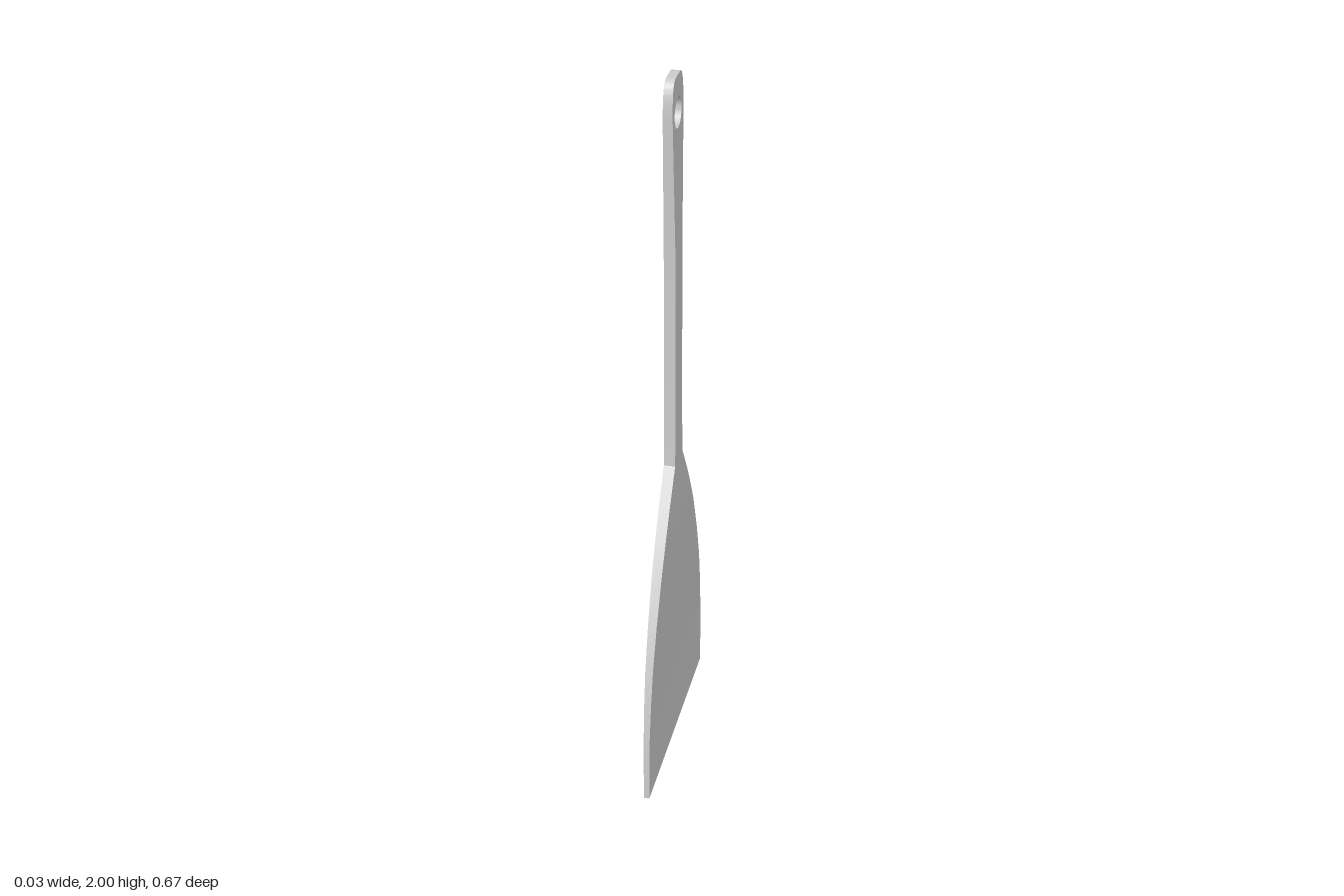
import * as THREE from 'three';
import { toCreasedNormals } from 'three/addons/utils/BufferGeometryUtils.js';

const material = new THREE.MeshStandardMaterial({ color: 0xcccccc });

// Rectangular cross-sections: [height, half width, half thickness]
const bladeSections = [
  [0, 0.336, 0.0075], [0.12, 0.336, 0.008], [0.2, 0.331, 0.0085], [0.3, 0.318, 0.0095],
  [0.4, 0.298, 0.0105], [0.52, 0.257, 0.012], [0.65, 0.2, 0.0138], [0.72, 0.161, 0.0145],
  [0.8, 0.113, 0.015], [0.9, 0.045, 0.0155],
];
const gripSections = [
  [0.9, 0.045, 0.0155], [1.0, 0.042, 0.0155], [1.2, 0.04, 0.0155], [1.4, 0.04, 0.0155],
  [1.55, 0.043, 0.015], [1.7, 0.051, 0.014], [1.8, 0.057, 0.0133],
];

// Joins the sections with four walls; the bottom may be capped
function loft(name, sections, capBottom) {
  const rings = sections.map(([y, w, t]) => [[t, y, w], [t, y, -w], [-t, y, -w], [-t, y, w]]);
  const positions = [];
  const quad = (a, b, c, d) => positions.push(...a, ...b, ...c, ...a, ...c, ...d);
  for (let i = 0; i < rings.length - 1; i++) {
    const low = rings[i], high = rings[i + 1];
    for (let k = 0; k < 4; k++) {
      const n = (k + 1) % 4;
      quad(low[k], low[n], high[n], high[k]);
    }
  }
  if (capBottom) quad(...rings[0].slice().reverse());
  const geometry = new THREE.BufferGeometry();
  geometry.setAttribute('position', new THREE.Float32BufferAttribute(positions, 3));
  const mesh = new THREE.Mesh(toCreasedNormals(geometry, 0.5), material);
  mesh.name = name;
  return mesh;
}

// Rounded handle end with a hanging hole, thinning slightly towards the tip
function handleEnd() {
  const shape = new THREE.Shape();
  shape.moveTo(-0.057, 1.8);
  shape.lineTo(0.057, 1.8);
  shape.lineTo(0.062, 1.9);
  shape.bezierCurveTo(0.063, 1.96, 0.055, 2, 0.022, 2);
  shape.lineTo(-0.022, 2);
  shape.bezierCurveTo(-0.055, 2, -0.063, 1.96, -0.062, 1.9);
  shape.closePath();
  shape.holes.push(new THREE.Path().absarc(0, 1.9, 0.04, 0, Math.PI * 2, true));

  const geometry = new THREE.ExtrudeGeometry(shape, { depth: 2, bevelEnabled: false, curveSegments: 16 });
  geometry.translate(0, 0, -1);
  const p = geometry.attributes.position;
  for (let i = 0; i < p.count; i++) {
    const halfThickness = THREE.MathUtils.mapLinear(p.getY(i), 1.8, 2, 0.0133, 0.012);
    p.setZ(i, p.getZ(i) * halfThickness);
  }
  geometry.rotateY(Math.PI / 2);
  const mesh = new THREE.Mesh(toCreasedNormals(geometry, 0.5), material);
  mesh.name = 'handleEnd';
  return mesh;
}

export function createModel() {
  const model = new THREE.Group();
  model.name = 'spatula';
  model.add(loft('blade', bladeSections, true), loft('handleGrip', gripSections, false), handleEnd());
  return model;
}
